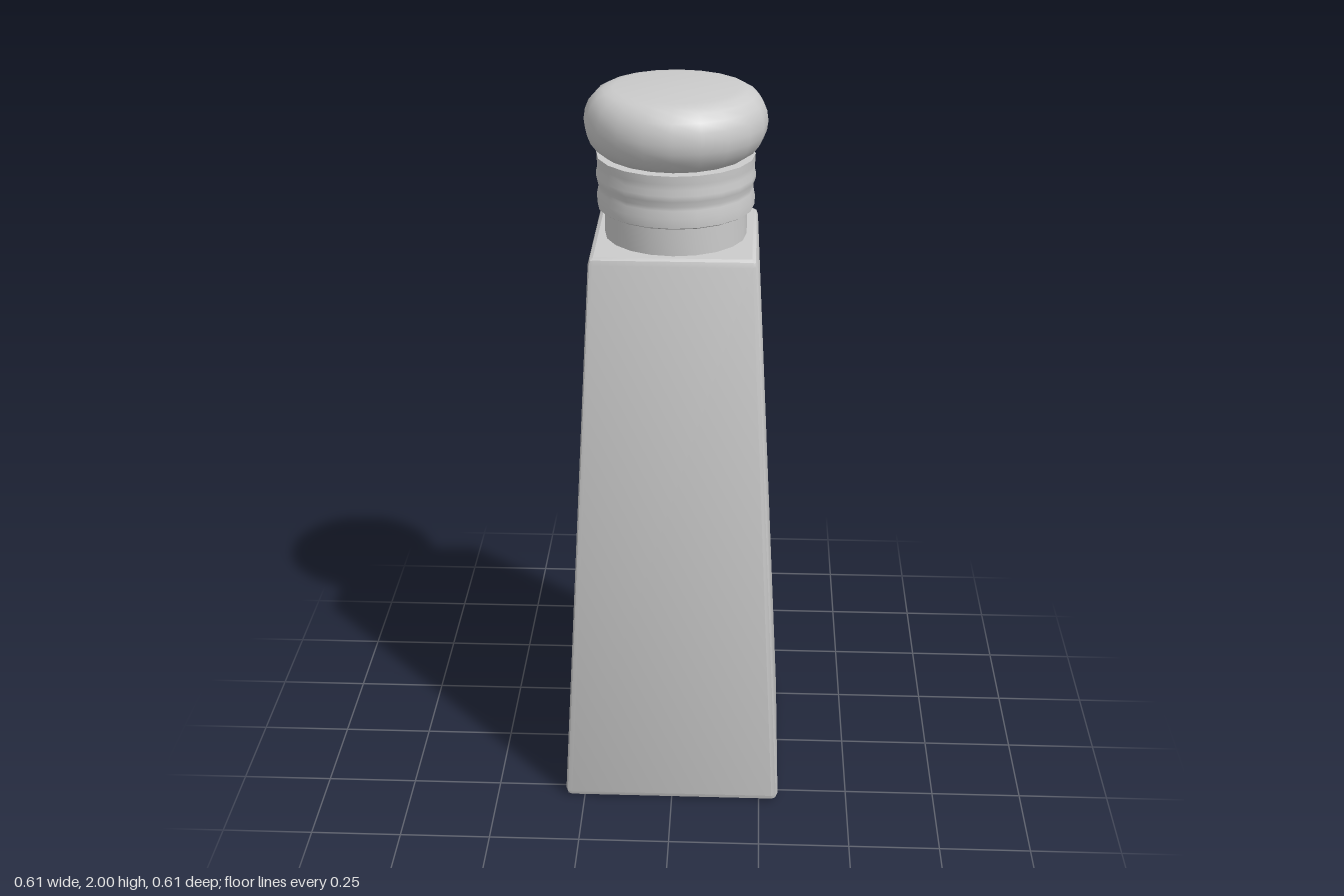
import * as THREE from 'three';
import { toCreasedNormals } from 'three/addons/utils/BufferGeometryUtils.js';
import { RoundedBoxGeometry } from 'three/addons/geometries/RoundedBoxGeometry.js';

const material = new THREE.MeshStandardMaterial({ color: 0xcccccc, side: THREE.DoubleSide });
const SIDES = 20;

function addPart(group, name, geometry, crease = 0.65) {
  const mesh = new THREE.Mesh(toCreasedNormals(geometry, crease), material);
  mesh.name = name;
  group.add(mesh);
}

// Turned part from [radius, height] pairs, listed bottom to top
function turned(profile) {
  return new THREE.LatheGeometry(profile.map(([r, y]) => new THREE.Vector2(r, y)), SIDES);
}

// Square block with softened edges, narrowing towards the top
function taperedBody(height, bottom, top) {
  const geometry = new RoundedBoxGeometry(bottom, height, bottom, 1, 0.018);
  geometry.translate(0, height / 2, 0);
  const p = geometry.attributes.position;
  for (let i = 0; i < p.count; i++) {
    const s = THREE.MathUtils.lerp(1, top / bottom, p.getY(i) / height);
    p.setX(i, p.getX(i) * s);
    p.setZ(i, p.getZ(i) * s);
  }
  return geometry;
}

export function createModel() {
  const group = new THREE.Group();
  group.name = 'shaker';

  addPart(group, 'body', taperedBody(1.61, 0.61, 0.432), 0.5);

  addPart(group, 'neck', turned([[0.187, 1.6], [0.187, 1.72]]));

  // Cap skirt with two soft ridges and an overhanging lower lip
  addPart(group, 'capSkirt', turned([
    [0.187, 1.695], [0.197, 1.685], [0.206, 1.69], [0.207, 1.715], [0.203, 1.735],
    [0.202, 1.745], [0.208, 1.76], [0.209, 1.775], [0.205, 1.79], [0.206, 1.805],
    [0.207, 1.827], [0.17, 1.827],
  ]));

  // Bulging knob with a flat top
  addPart(group, 'capKnob', turned([
    [0.17, 1.824], [0.19, 1.832], [0.21, 1.846], [0.226, 1.867], [0.235, 1.89],
    [0.238, 1.915], [0.234, 1.942], [0.224, 1.966], [0.207, 1.985], [0.187, 1.996],
    [0.162, 2], [0, 2],
  ]));

  return group;
}
